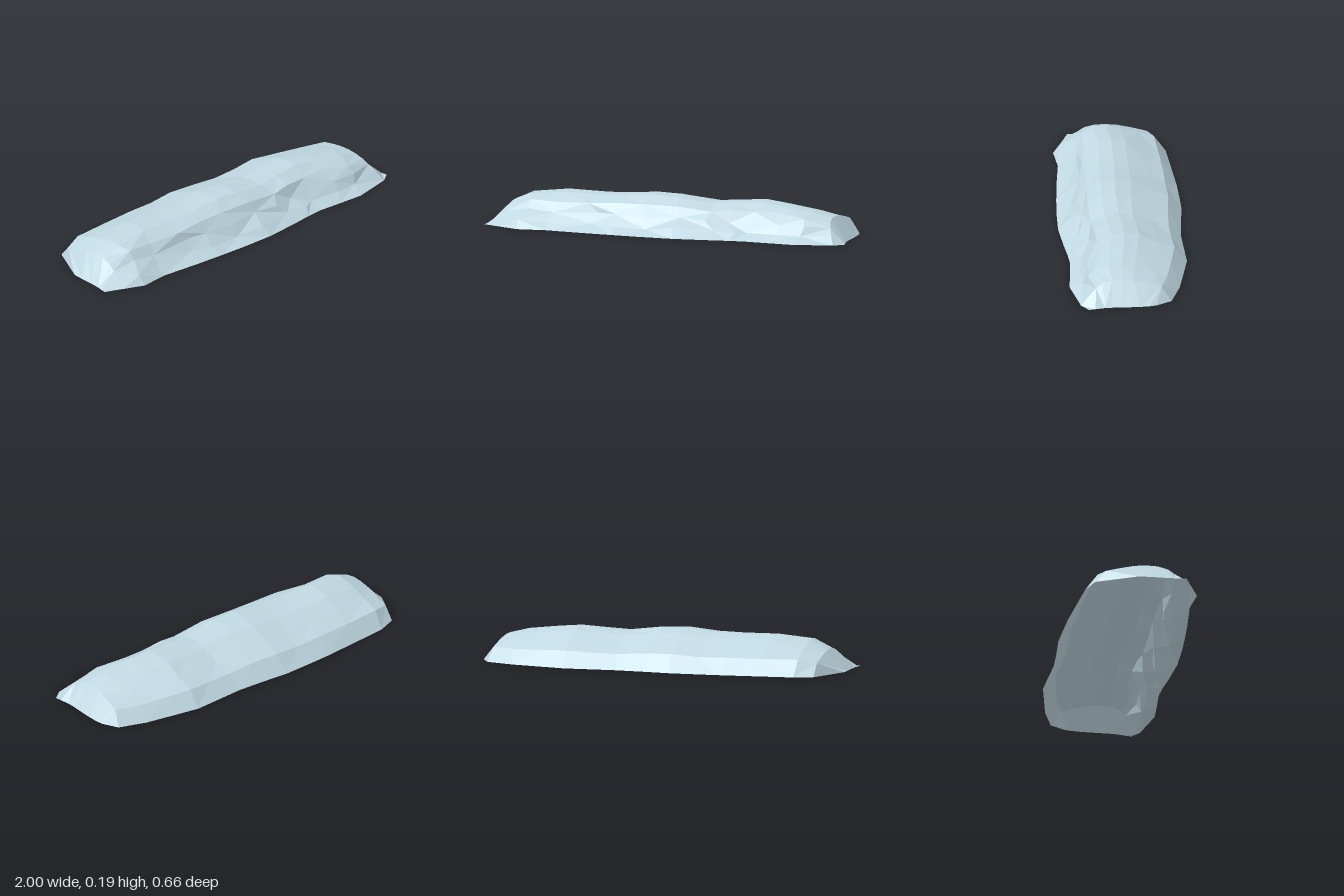
import * as THREE from 'three';

// Cross-section from back foot (-1) to front foot (+1): [across, height]
const PROFILE = [
  [-1, 0], [-0.78, 0.47], [-0.5, 0.69], [-0.18, 0.92], [0.06, 1], [0.3, 0.98],
  [0.52, 0.79], [0.66, 0.49], [0.81, 0.2], [1, 0],
];

// Stations along the mound: [back foot x, back z, front foot x, front z, crest x, height, boxiness]
const STATIONS = [
  [-0.99, -0.02, -1, 0.23, -0.99, 0, 0],
  [-0.89, -0.24, -0.9, 0.27, -0.89, 0.113, 0.6],
  [-0.79, -0.28, -0.79, 0.315, -0.79, 0.158, 0.3],
  [-0.6, -0.3, -0.64, 0.297, -0.6, 0.178, 0],
  [-0.4, -0.32, -0.42, 0.315, -0.4, 0.175, 0],
  [-0.25, -0.328, -0.25, 0.324, -0.26, 0.177, 0],
  [-0.12, -0.333, -0.11, 0.33, -0.1, 0.191, 0],
  [0.03, -0.322, 0.08, 0.33, 0.04, 0.187, 0],
  [0.18, -0.315, 0.26, 0.31, 0.22, 0.164, 0],
  [0.34, -0.325, 0.38, 0.293, 0.34, 0.171, 0],
  [0.47, -0.333, 0.47, 0.285, 0.48, 0.18, 0],
  [0.62, -0.307, 0.6, 0.293, 0.62, 0.168, 0],
  [0.77, -0.28, 0.74, 0.3, 0.79, 0.145, 0.2],
  [0.92, -0.23, 0.95, 0.25, 0.89, 0.118, 0.8],
  [0.965, -0.15, 1, 0.21, 0.98, 0, 0],
];

function seeded(seed) {
  return () => {
    seed = (seed * 16807) % 2147483647;
    return seed / 2147483647 - 0.5;
  };
}

function moundGeometry() {
  const rand = seeded(417);
  const lerp = THREE.MathUtils.lerp;
  const cols = PROFILE.length;
  const positions = [];
  const indices = [];

  STATIONS.forEach(([xBack, zBack, xFront, zFront, xCrest, height, boxy], i) => {
    PROFILE.forEach(([across, up], j) => {
      const t = (across + 1) / 2;
      const rise = lerp(up, Math.sqrt(up), boxy);
      let x = lerp(lerp(xBack, xFront, t), xCrest, rise);
      let y = height * rise;
      let z = lerp(zBack, zFront, t);
      // The front slope is rough, the back slope is almost smooth
      if (i > 1 && i < STATIONS.length - 2 && j > 0 && j < cols - 1) {
        const rough = across > 0.4 ? 1 : 0.2;
        x += rand() * 0.07 * rough;
        y += rand() * 0.02 * rough;
        z += rand() * 0.035 * rough;
      }
      positions.push(x, y, z);
    });
  });

  // Skin neighbouring sections, alternating the diagonal for irregular facets
  for (let i = 0; i < STATIONS.length - 1; i++) {
    for (let j = 0; j < cols - 1; j++) {
      const a = i * cols + j;
      const b = a + 1;
      const c = a + cols;
      const d = c + 1;
      if ((i + j) % 2) indices.push(a, b, c, b, d, c);
      else indices.push(a, b, d, a, d, c);
    }
  }

  const geometry = new THREE.BufferGeometry();
  geometry.setAttribute('position', new THREE.Float32BufferAttribute(positions, 3));
  geometry.setIndex(indices);
  geometry.computeVertexNormals();
  return geometry;
}

export function createModel() {
  const group = new THREE.Group();
  group.name = 'snowBank';

  const snow = new THREE.MeshStandardMaterial({
    color: 0xc0d8e2, flatShading: true, side: THREE.DoubleSide,
  });
  snow.name = 'paleBlueSnow';

  // Hollow shell, open underneath
  const mound = new THREE.Mesh(moundGeometry(), snow);
  mound.name = 'mound';
  group.add(mound);
  return group;
}
